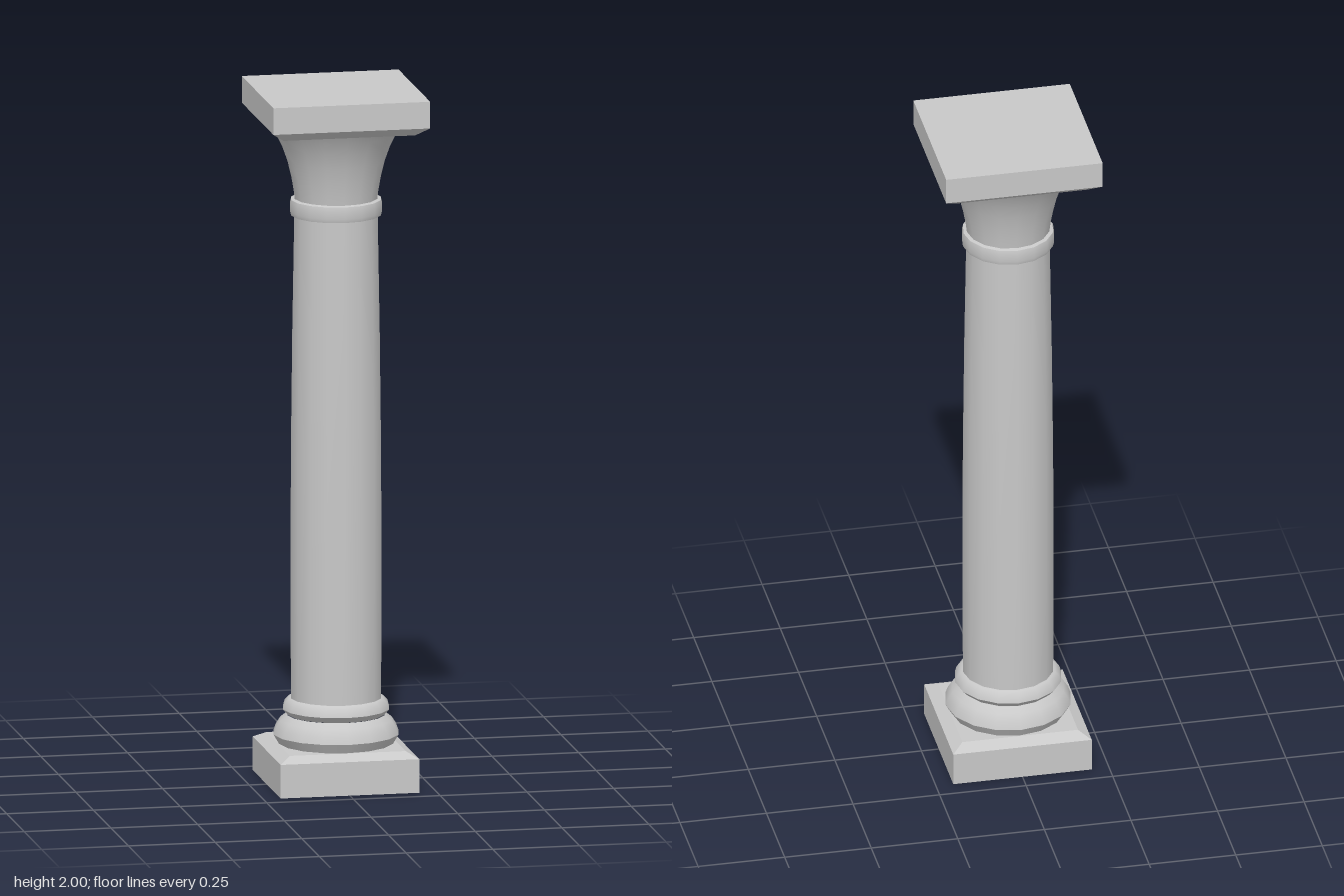
import * as THREE from 'three';

const SIDES = 16;

export function createModel() {
  const group = new THREE.Group();
  const stone = new THREE.MeshStandardMaterial({ color: 0xc8c8c8 });
  stone.name = 'grey stone';

  const add = (name, geometry) => {
    const mesh = new THREE.Mesh(geometry, stone);
    mesh.name = name;
    group.add(mesh);
    return mesh;
  };

  // Square block from y0 to y1, with half widths at bottom and top
  const block = (name, y0, y1, half0, half1) => {
    const g = new THREE.CylinderGeometry(half1 * Math.SQRT2, half0 * Math.SQRT2, y1 - y0, 4)
      .rotateY(Math.PI / 4)
      .translate(0, (y0 + y1) / 2, 0)
      .toNonIndexed();
    g.computeVertexNormals();
    add(name, g);
  };

  // Round section from [radius, y] points, bottom to top, smooth within itself
  const turned = (name, points) =>
    add(name, new THREE.LatheGeometry(points.map(([r, y]) => new THREE.Vector2(r, y)), SIDES));

  // Square foot
  block('plinth', 0, 0.097, 0.2, 0.2);
  block('plinthBevel', 0.097, 0.115, 0.2, 0.167);

  // Round base mouldings, split at their sharp edges
  turned('lowerTorusUnderside', [[0.164, 0.115], [0.18, 0.142]]);
  turned('lowerTorus', [[0.18, 0.142], [0.173, 0.162], [0.16, 0.182], [0.14, 0.197]]);
  turned('upperTorusUnderside', [[0.138, 0.197], [0.153, 0.214]]);
  turned('upperTorus', [[0.153, 0.214], [0.148, 0.231], [0.136, 0.244], [0.125, 0.246]]);

  // Shaft with a slight swelling
  turned('shaft', [[0.13, 0.24], [0.131, 0.6], [0.13, 0.95], [0.126, 1.3], [0.12, 1.65]]);

  // Necking ring
  turned('neckRingUnderside', [[0.115, 1.637], [0.129, 1.639]]);
  turned('neckRing', [[0.129, 1.639], [0.132, 1.65], [0.132, 1.672], [0.129, 1.684]]);
  turned('neckRingTop', [[0.129, 1.684], [0.115, 1.688]]);

  // Flared bell of the capital
  turned('capitalBell', [
    [0.118, 1.68], [0.122, 1.712], [0.129, 1.752], [0.14, 1.798],
    [0.155, 1.84], [0.172, 1.875], [0.186, 1.897],
  ]);

  // Square slab on top
  block('abacusBevel', 1.897, 1.923, 0.19, 0.226);
  block('abacus', 1.923, 2, 0.226, 0.226);

  return group;
}
